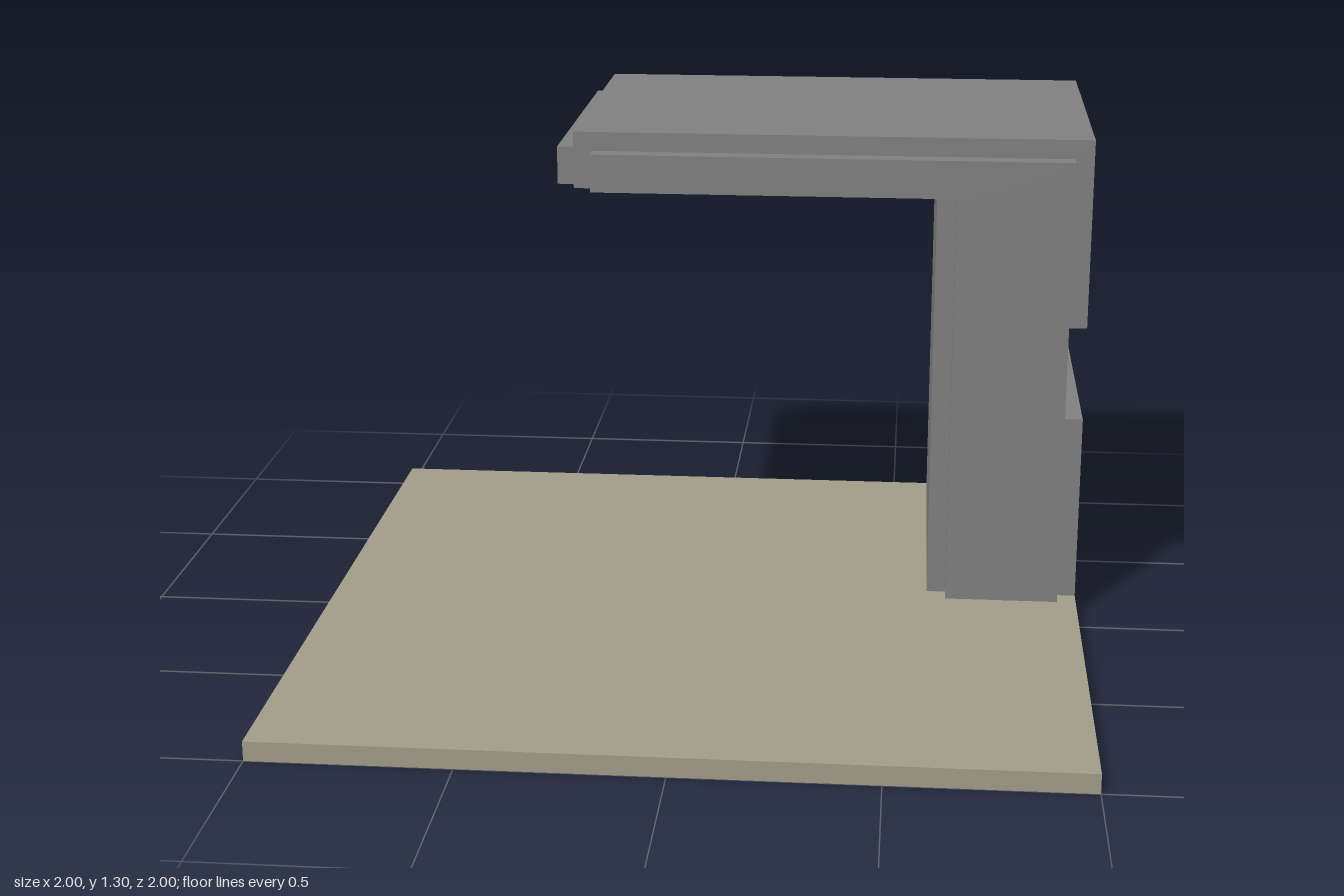
import * as THREE from 'three';

const ground = new THREE.MeshStandardMaterial({ color: 0xa39c8a });
ground.name = 'sand ground';
const stone = new THREE.MeshStandardMaterial({ color: 0x808080 });
stone.name = 'grey concrete';

// Extrude an outline in x/y between two depths
function slab(name, points, zBack, zFront) {
  const shape = new THREE.Shape(points.map(([x, y]) => new THREE.Vector2(x, y)));
  const geometry = new THREE.ExtrudeGeometry(shape, { depth: zFront - zBack, bevelEnabled: false });
  geometry.translate(0, 0, zBack);
  const mesh = new THREE.Mesh(geometry, stone);
  mesh.name = name;
  return mesh;
}

function box(name, material, min, max) {
  const size = max.map((v, i) => v - min[i]);
  const mesh = new THREE.Mesh(new THREE.BoxGeometry(...size), material);
  mesh.position.set(...max.map((v, i) => (v + min[i]) / 2));
  mesh.name = name;
  return mesh;
}

export function createModel() {
  const group = new THREE.Group();
  group.name = 'cantilevered corner building';

  group.add(box('basePlate', ground, [-1, 0, -1], [1, 0.05, 1]));

  // Wall and overhanging roof, with a groove along the outer wall
  group.add(slab('wallAndRoof', [
    [0.6, 0.05], [1, 0.05], [1, 0.55], [0.95, 0.55], [0.95, 0.8], [1, 0.8],
    [1, 1.3], [-0.35, 1.3], [-0.35, 1.15], [0.6, 1.15],
  ], -1, -0.1));

  // Raised panel on the front
  group.add(slab('frontPanel', [
    [0.65, 0.05], [0.95, 0.05], [0.95, 1.25], [-0.3, 1.25], [-0.3, 1.15], [0.65, 1.15],
  ], -0.1, -0.05));

  // Raised strip on the free end of the roof
  group.add(box('roofEndStrip', stone, [-0.4, 1.15, -1], [-0.35, 1.25, -0.15]));

  return group;
}
